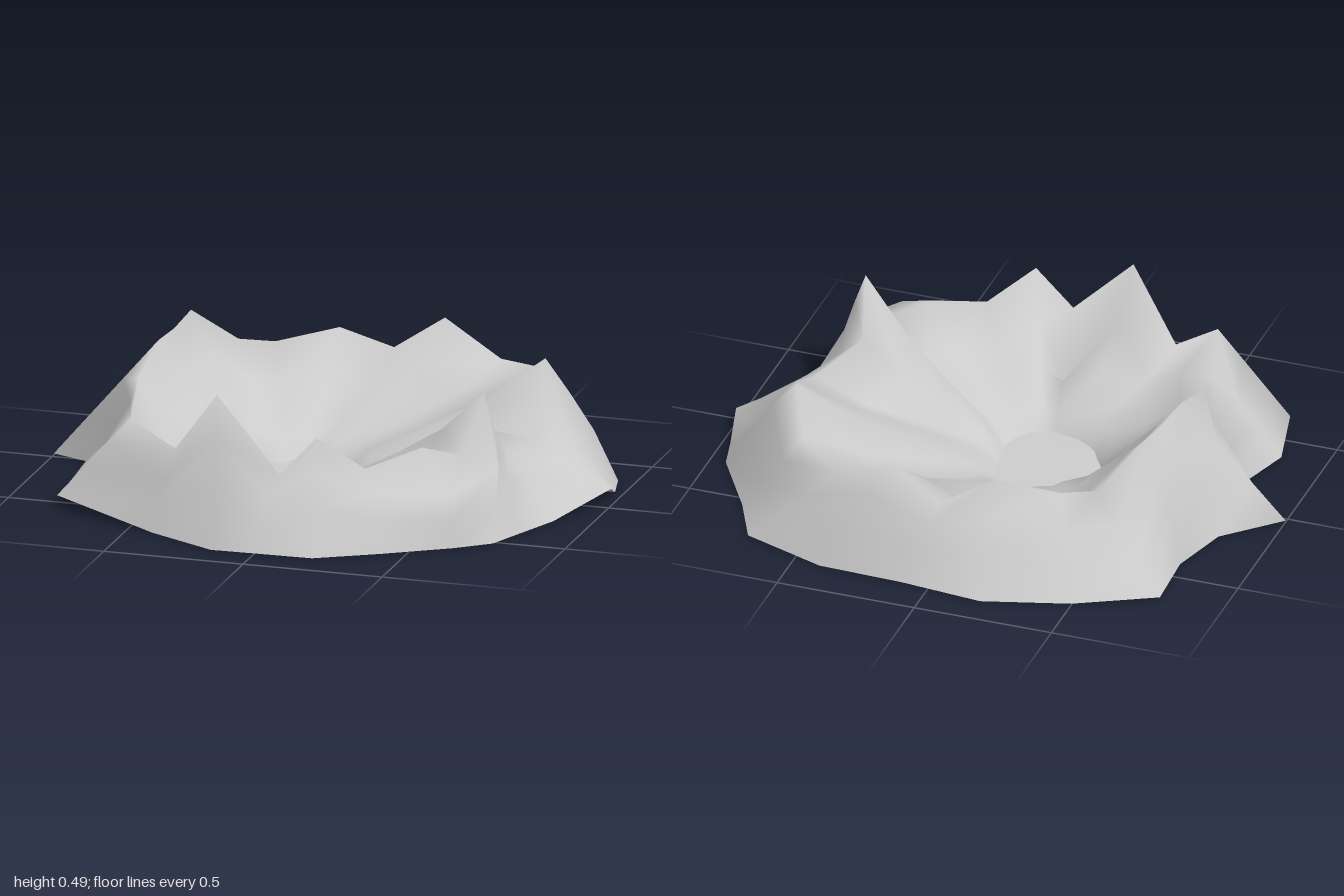
import * as THREE from 'three';

// One row per section, clockwise from +x: foot x, foot z, rim x, rim y, rim z
const SECTIONS = [
  [1.0, -0.03, 0.73, 0.22, 0], [0.87, 0.22, 0.61, 0.3, 0.17], [0.8, 0.4, 0.65, 0.47, 0.31],
  [0.75, 0.53, 0.6, 0.27, 0.4], [0.64, 0.62, 0.48, 0.31, 0.48], [0.42, 0.76, 0.32, 0.26, 0.62],
  [0.21, 0.88, 0.17, 0.38, 0.7], [0.0, 0.885, 0.04, 0.24, 0.71], [-0.15, 0.89, -0.2, 0.49, 0.66],
  [-0.4, 0.76, -0.38, 0.25, 0.58], [-0.8, 0.58, -0.54, 0.35, 0.57], [-0.84, 0.38, -0.6, 0.27, 0.38],
  [-0.75, 0.08, -0.64, 0.36, 0.16], [-1.0, -0.02, -0.64, 0.43, -0.07], [-0.82, -0.2, -0.63, 0.43, -0.22],
  [-0.76, -0.42, -0.62, 0.45, -0.38], [-0.78, -0.68, -0.5, 0.31, -0.54], [-0.5, -0.8, -0.38, 0.3, -0.58],
  [-0.2, -0.89, -0.17, 0.35, -0.65], [0.1, -0.86, 0, 0.27, -0.73], [0.4, -0.85, 0.18, 0.39, -0.74],
  [0.7, -0.74, 0.4, 0.28, -0.68], [0.79, -0.55, 0.57, 0.31, -0.54], [0.94, -0.3, 0.66, 0.4, -0.36],
  [0.97, -0.17, 0.73, 0.29, -0.15],
];

// Sections whose outer slope runs straight instead of bulging, and feet that lift off the ground
const STRAIGHT = new Set([0, 9, 10, 13, 16, 17, 21, 22, 24]);
const RAISED = { 0: 0.06, 10: 0.05, 16: 0.02 };
const LEDGE = { 3: [0.73, 0.23, 0.4], 4: [0.63, 0.2, 0.62] }; // shoulders on the outer slope
const SPUR = new Set([13, 14, 15]); // inner slopes that stay high towards the opening
const HOLLOW = 7; // section with a small hollow in its inner slope

// Edge of the opening in the crater floor: angle in degrees, radius
const PIT = [[-55, 0.2], [-6, 0.17], [59, 0.25], [144, 0.175], [218, 0.215], [225, 0.11], [252, 0.19], [305, 0.2]];
const PIT_X = -0.12, PIT_Z = 0.02;

function pitPoint(x, z) {
  const a = Math.atan2(z - PIT_Z, x - PIT_X);
  let deg = THREE.MathUtils.radToDeg(a);
  if (deg < -55) deg += 360;
  let k = 0;
  while (k < PIT.length - 2 && deg > PIT[k + 1][0]) k++;
  const [a0, r0] = PIT[k], [a1, r1] = PIT[k + 1];
  const r = r0 + (r1 - r0) * (deg - a0) / (a1 - a0);
  return [PIT_X + r * Math.cos(a), PIT_Z + r * Math.sin(a)];
}

// Profiles: distance along the slope, share of the rim height, added height
const OUTER = [[0, 0], [0.33, 0.42], [0.66, 0.72], [1, 1]];
const INNER = [[0.3, 0.63, 0.01], [0.6, 0.32, 0.04], [0.88, 0.07, 0.06], [1, 0, 0.02]];

function craterGeometry() {
  const n = SECTIONS.length, positions = [], index = [];
  const footHeight = (i) => RAISED[i] ?? 0.005;

  // Outer slope, foot to rim
  OUTER.forEach(([t, share], row) => SECTIONS.forEach(([ox, oz, rx, ry, rz], i) => {
    const foot = new THREE.Vector3(ox, footHeight(i), oz);
    const p = foot.clone().lerp(new THREE.Vector3(rx, ry, rz), t);
    if (!STRAIGHT.has(i)) p.y = foot.y + (ry - foot.y) * share;
    if (LEDGE[i] && row < 3) p.copy(foot).lerp(new THREE.Vector3(...LEDGE[i]), row / 2);
    positions.push(...p);
  }));

  // Bowl, rim to floor opening
  INNER.forEach(([t, share, lift], row) => SECTIONS.forEach(([, , rx, ry, rz], i) => {
    const [px, pz] = pitPoint(rx, rz);
    let y = ry * (SPUR.has(i) ? 1 - t : share) + lift;
    if (row === 0 && i === HOLLOW) y = 0.02;
    positions.push(rx + (px - rx) * t, y, rz + (pz - rz) * t);
  }));

  for (let r = 0; r < OUTER.length + INNER.length - 1; r++) {
    for (let i = 0; i < n; i++) {
      const j = (i + 1) % n, a = r * n + i, b = r * n + j, c = a + n, d = b + n;
      index.push(a, c, b, b, c, d);
    }
  }

  // Ground plate under the foot, also visible through the floor opening
  const centre = positions.length / 3;
  positions.push(0, 0, 0);
  SECTIONS.forEach(([x, z], i) => {
    positions.push(x, footHeight(i), z);
    index.push(centre, centre + 1 + i, centre + 1 + (i + 1) % n);
  });

  const geometry = new THREE.BufferGeometry();
  geometry.setAttribute('position', new THREE.Float32BufferAttribute(positions, 3));
  geometry.setIndex(index);
  geometry.computeVertexNormals();
  return geometry;
}

export function createModel() {
  const group = new THREE.Group();
  group.name = 'crater';
  const material = new THREE.MeshStandardMaterial({ color: 0xcccccc, side: THREE.DoubleSide });

  // Jagged ring wall with its bowl and base
  const wall = new THREE.Mesh(craterGeometry(), material);
  wall.name = 'craterWall';
  group.add(wall);
  return group;
}
